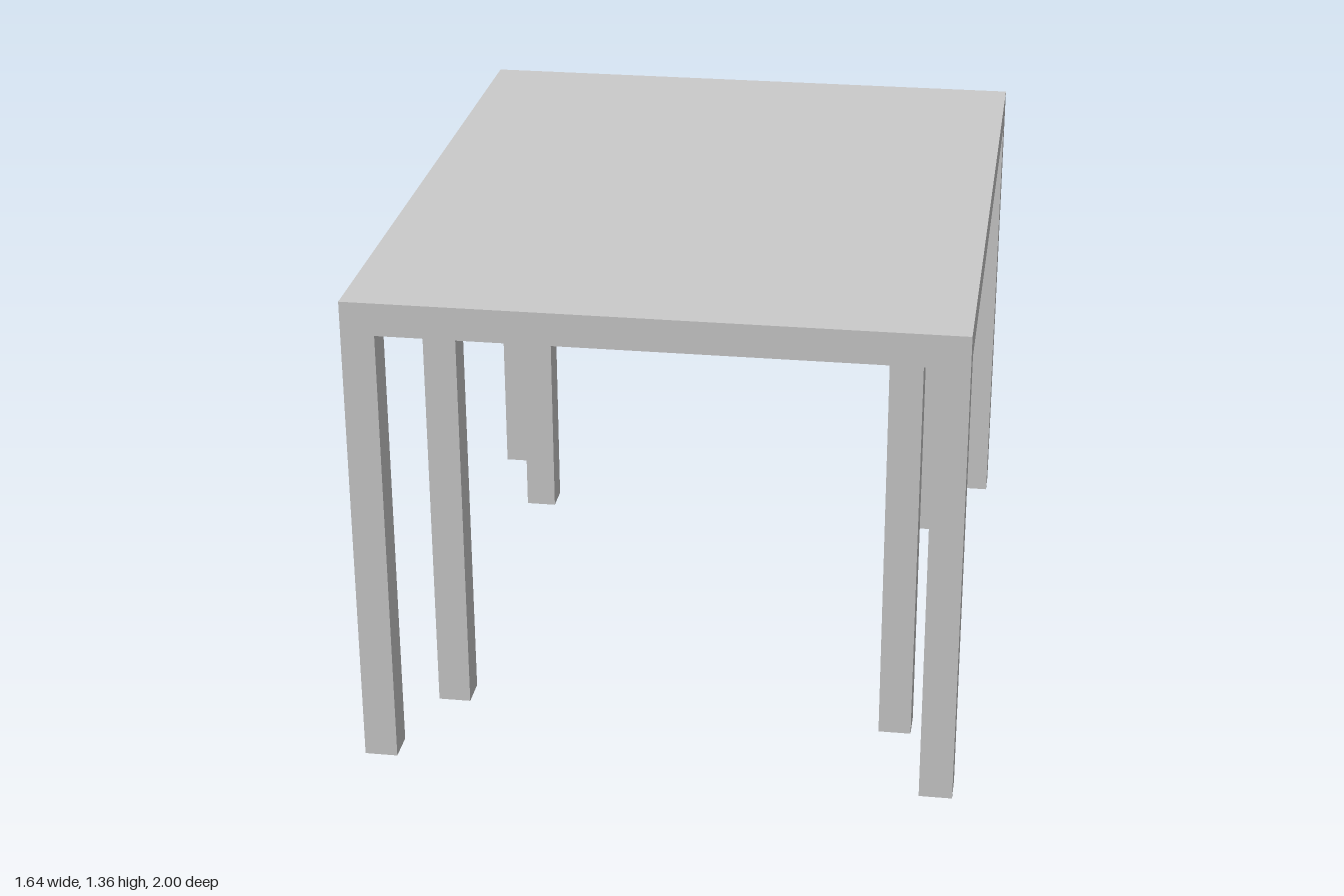
import * as THREE from 'three';

const U = 1 / 11; // leg thickness, also the slab thickness
const LEG_HEIGHT = 14 * U;

export function createModel() {
  const table = new THREE.Group();
  table.name = 'table';
  const material = new THREE.MeshStandardMaterial({ color: 0xcccccc, flatShading: true });

  const addBox = (name, w, h, d, x, y, z) => {
    const mesh = new THREE.Mesh(new THREE.BoxGeometry(w, h, d), material);
    mesh.name = name;
    mesh.position.set(x, y, z);
    table.add(mesh);
  };

  // Slab
  addBox('tableTop', 18 * U, U, 22 * U, 0, LEG_HEIGHT + U / 2, 0);

  // Four legs flush with the corners, four more set inward
  for (const sx of [-1, 1]) {
    for (const sz of [-1, 1]) {
      const corner = (sz > 0 ? 'front' : 'back') + (sx > 0 ? 'Left' : 'Right');
      addBox(corner + 'OuterLeg', U, LEG_HEIGHT, U, sx * 8.5 * U, LEG_HEIGHT / 2, sz * 10.5 * U);
      addBox(corner + 'InnerLeg', U, LEG_HEIGHT, U, sx * 7 * U, LEG_HEIGHT / 2, sz * 7 * U);
    }
  }
  return table;
}
